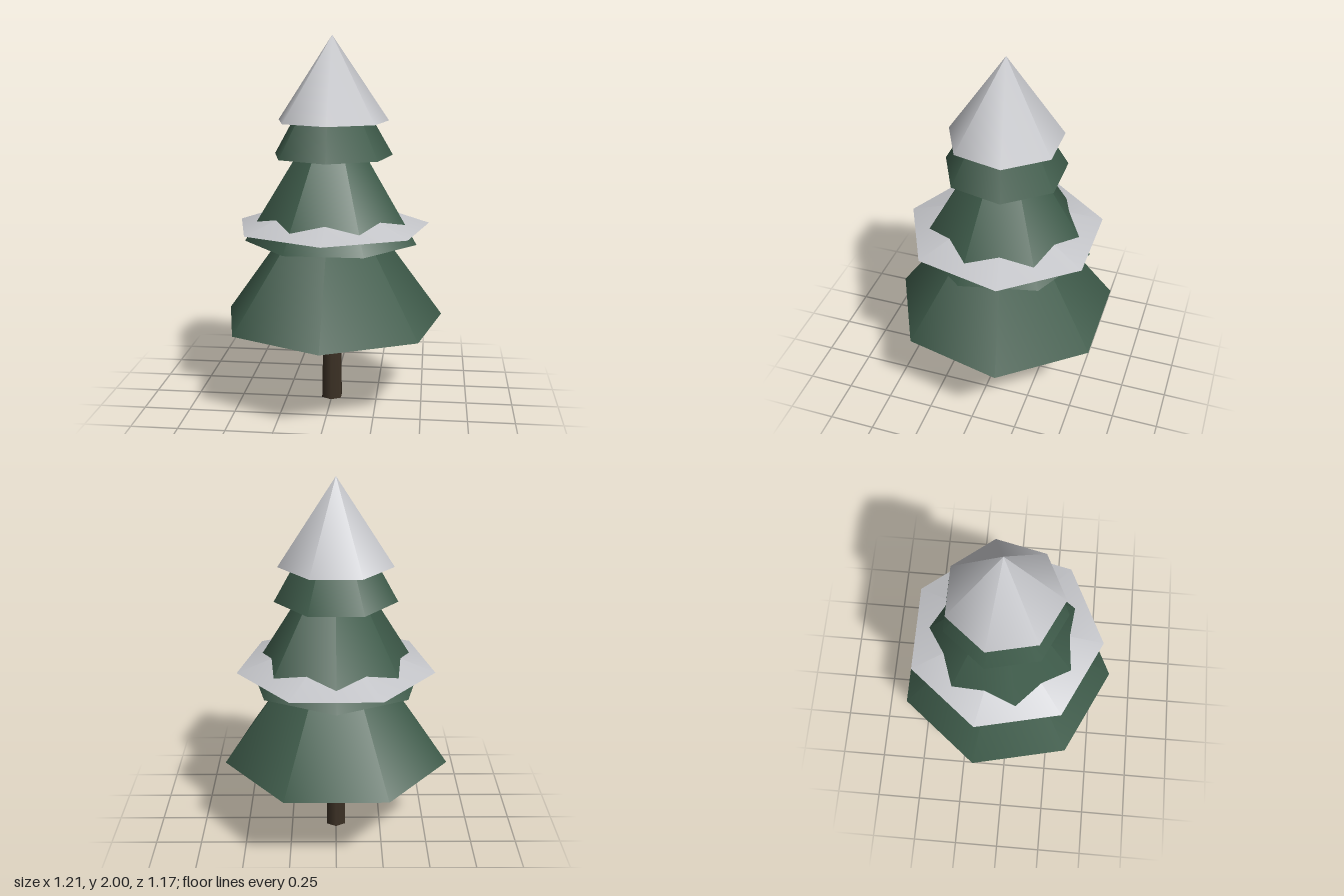
import * as THREE from 'three';

export function createModel() {
  const tree = new THREE.Group();
  tree.name = 'snowyFirTree';

  const needles = new THREE.MeshStandardMaterial({ color: 0x3d5a49 });
  needles.name = 'needle green';
  const snow = new THREE.MeshStandardMaterial({ color: 0xc5c6ca });
  snow.name = 'snow white';
  const bark = new THREE.MeshStandardMaterial({ color: 0x3c3125 });
  bark.name = 'bark brown';

  const AXIS_Z = -0.032; // the trunk axis sits slightly behind the centre

  function add(name, geometry, material, turn = 0) {
    const mesh = new THREE.Mesh(geometry.rotateY(turn), material);
    mesh.name = name;
    mesh.position.z = AXIS_Z;
    tree.add(mesh);
  }

  // Tapered six-sided trunk, running up into the lowest tier
  add('trunk', new THREE.CylinderGeometry(0.048, 0.061, 0.66, 6).translate(0, 0.33, 0), bark);

  // Seven-sided cones: name, radius, base height, tip height, material, turn
  const cones = [
    ['lowerBranches', 0.618, 0.46, 1.31, needles, 0],
    ['middleBranches', 0.473, 0.91, 1.68, needles, Math.PI],
    ['snowSkirt', 0.537, 0.985, 1.17, snow, 0],
    ['upperBranches', 0.33, 1.365, 1.935, needles, 0],
    ['snowCap', 0.307, 1.55, 2, snow, 0],
  ];
  for (const [name, radius, base, tip, material, turn] of cones) {
    const cone = new THREE.ConeGeometry(radius, tip - base, 7).translate(0, (base + tip) / 2, 0);
    add(name, cone, material, turn);
  }

  return tree;
}
